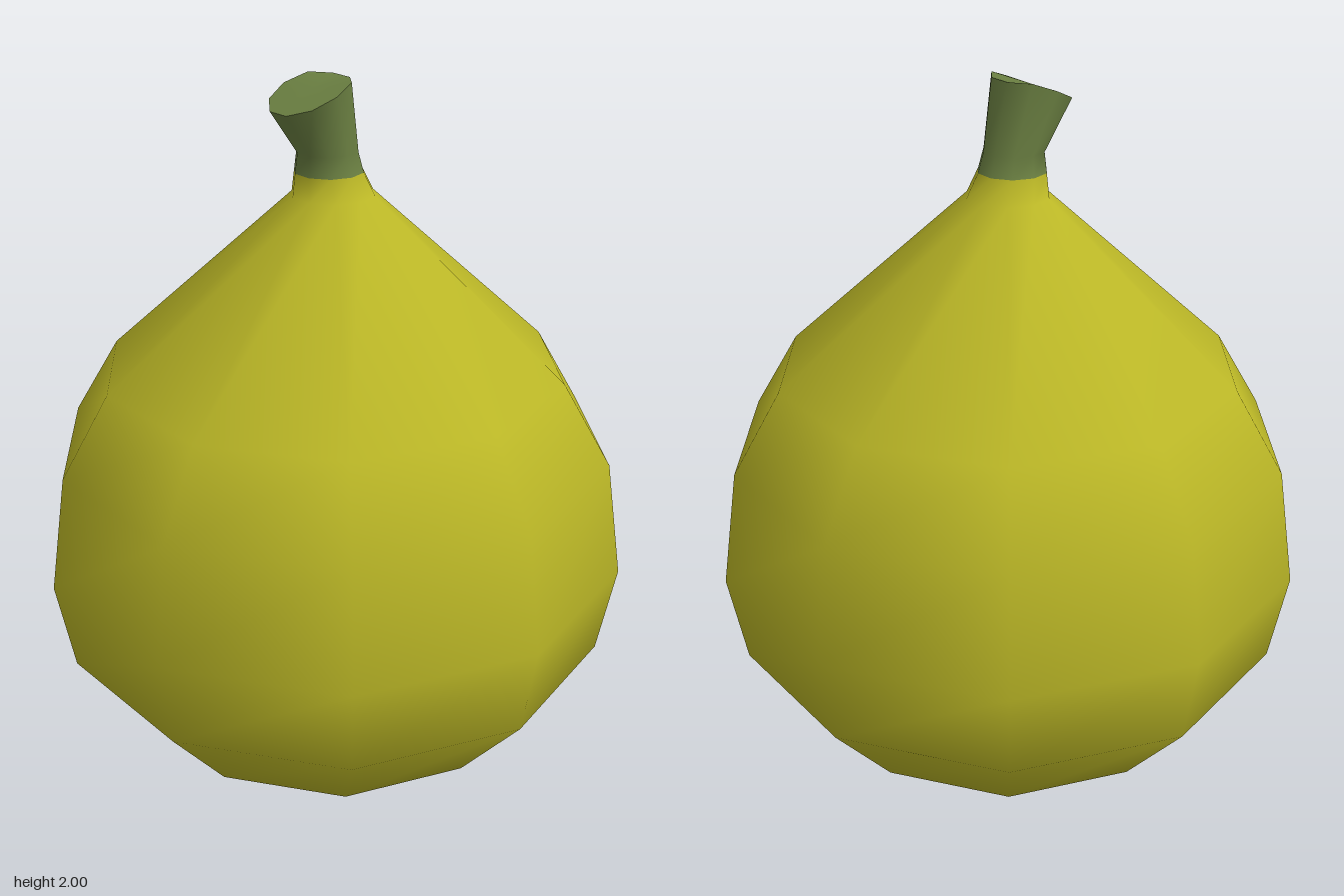
import * as THREE from 'three';

const SIDES = 10;

// One ring of points; z shifts it forward, tilt gives the height from z
function ring({ r, y, z = 0, tilt }) {
  return Array.from({ length: SIDES }, (_, j) => {
    const a = (j / SIDES) * Math.PI * 2;
    const pz = z - r * Math.sin(a);
    return [r * Math.cos(a), tilt ? tilt(pz) : y, pz];
  });
}

// Smooth wall through the rings; the faces above ring `split` use material 1
function loft(rings, split) {
  const index = [];
  for (let i = 0; i < rings.length - 1; i++) {
    for (let j = 0; j < SIDES; j++) {
      const k = (j + 1) % SIDES;
      const a = i * SIDES + j, b = i * SIDES + k;
      index.push(a, b, b + SIDES, a, b + SIDES, a + SIDES);
    }
  }
  const g = new THREE.BufferGeometry();
  g.setAttribute('position', new THREE.Float32BufferAttribute(rings.flat(2), 3));
  g.setIndex(index);
  g.computeVertexNormals();
  const cut = split * SIDES * 6;
  g.addGroup(0, cut, 0);
  g.addGroup(cut, index.length - cut, 1);
  return g;
}

// Fan closing a ring, facing up or down
function fan(points, centre, up) {
  const index = [];
  for (let j = 0; j < SIDES; j++) {
    const k = (j + 1) % SIDES;
    index.push(SIDES, up ? j : k, up ? k : j);
  }
  const g = new THREE.BufferGeometry();
  g.setAttribute('position', new THREE.Float32BufferAttribute([...points, centre].flat(), 3));
  g.setIndex(index);
  g.computeVertexNormals();
  return g;
}

export function createModel() {
  const skin = new THREE.MeshStandardMaterial({ color: 0xbab626 });
  skin.name = 'yellow green skin';
  const green = new THREE.MeshStandardMaterial({ color: 0x6b8042 });
  green.name = 'stem green';

  const profile = [
    { r: 0.25, y: 0.035 },
    { r: 0.565, y: 0.15 },
    { r: 0.78, y: 0.4 },
    { r: 0.828, y: 0.655 },
    { r: 0.78, y: 0.98 },
    { r: 0.645, y: 1.205 },
    { r: 0.115, y: 1.69 },
    { r: 0.095, y: 1.755, z: 0.015 }, // stem starts here
    { r: 0.084, y: 1.81, z: 0.02 },
    { r: 0.11, z: 0.077, tilt: (z) => Math.min(2, 1.93 + 0.45 * (0.18 - z)) },
  ];
  const rings = profile.map(ring);

  const group = new THREE.Group();
  group.name = 'fruit';
  const add = (name, geometry, material) => {
    const mesh = new THREE.Mesh(geometry, material);
    mesh.name = name;
    group.add(mesh);
  };

  add('bodyAndStem', loft(rings, 7), [skin, green]);
  add('stemCutEnd', fan(rings[9], [0, 1.975, 0.077], true), green);
  add('bottomEye', fan(rings[0], [0, 0, 0], false), green);
  return group;
}
